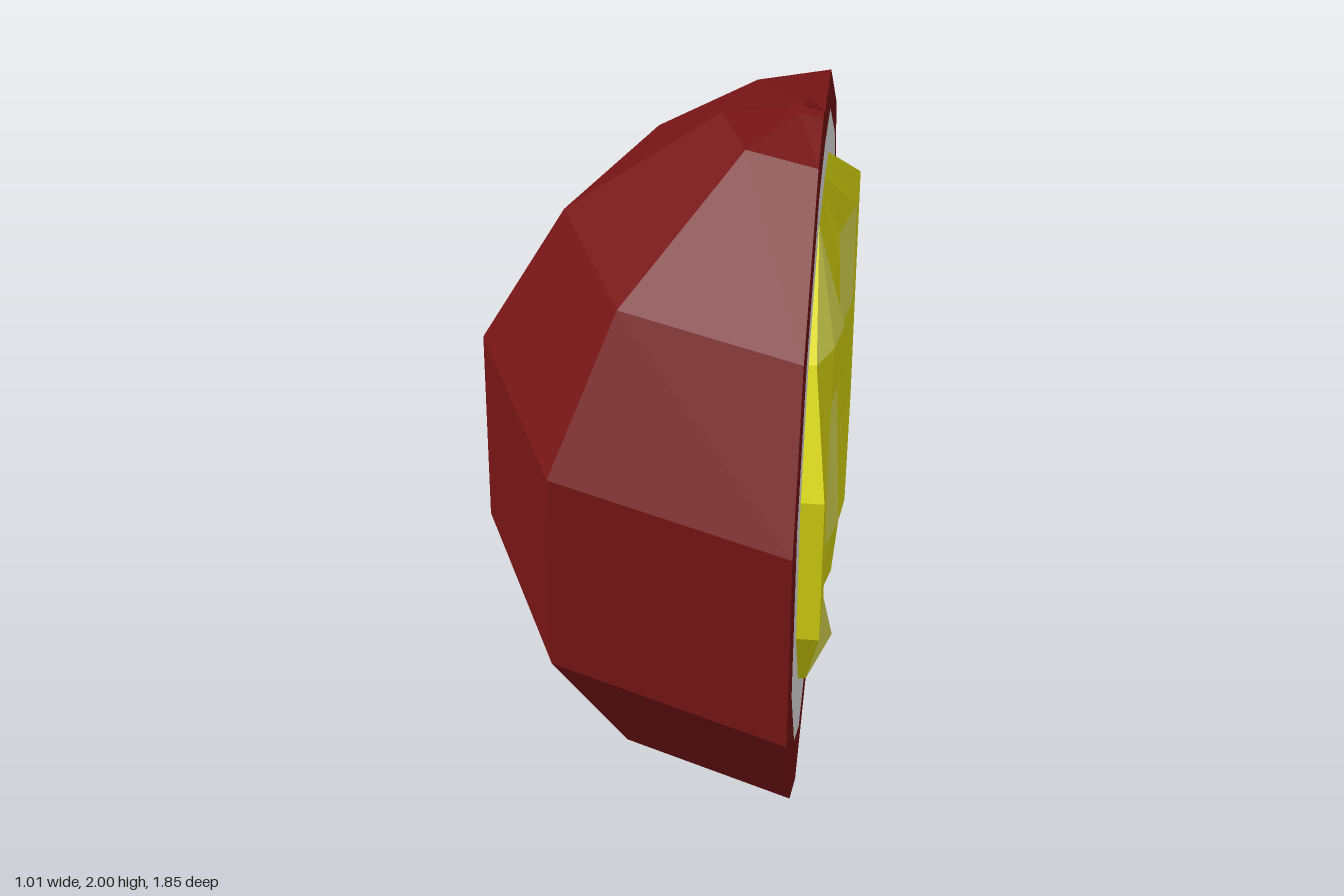
import * as THREE from 'three';

const CUT = 0.42; // x of the flat cut face

const material = (name, color) => {
  const m = new THREE.MeshStandardMaterial({ color });
  m.name = name;
  return m;
};

// Separate the faces so every facet is flat
function faceted(geometry) {
  const g = geometry.index ? geometry.toNonIndexed() : geometry;
  g.computeVertexNormals();
  return g;
}

// Flat shape on the cut, given as [z, y] points, facing +x
function cutShape(points, hole) {
  const toV = (p) => p.map(([z, y]) => new THREE.Vector2(-z, y));
  const shape = new THREE.Shape(toV(points));
  if (hole) shape.holes.push(new THREE.Path(toV(hole)));
  return new THREE.ShapeGeometry(shape).rotateY(Math.PI / 2);
}

export function createModel() {
  const rindRed = material('rind red', 0x761415);
  const pithWhite = material('pith white', 0xffffff);
  const pulpYellow = material('pulp yellow', 0xe2e012);
  const paleYellow = material('pale pulp yellow', 0xf4f25c);

  const group = new THREE.Group();
  group.name = 'halvedFruit';
  const add = (name, geometry, mat, x = 0) => {
    const mesh = new THREE.Mesh(geometry, mat);
    mesh.name = name;
    mesh.position.x = x;
    group.add(mesh);
  };

  // Rind: half of an eight-sided lathe with a small tilted stem scar
  const profile = [
    [0, 0], [0.38, 0], [0.67, 0.185], [0.925, 0.595], [0.925, 1.205],
    [0.69, 1.63], [0.27, 1.947], [0.09, 1.978], [0.06, 1.988], [0, 1.965],
  ];
  const rind = new THREE.LatheGeometry(
    profile.map(([r, y]) => new THREE.Vector2(r, y)), 4, Math.PI, Math.PI);
  const tilt = (z) => (Math.abs(z) < 0.1 ? z * 0.18 : 0);
  const pos = rind.attributes.position;
  for (let i = 0; i < pos.count; i++) {
    if (pos.getY(i) > 1.9) pos.setY(i, pos.getY(i) + tilt(pos.getZ(i)));
  }
  add('rind', faceted(rind), rindRed, CUT);

  // Cut edge of the rind
  const side = (s) => profile.map(([r, y]) => [s * r, y > 1.9 ? y + tilt(s * r) : y]);
  const outline = [...side(1).slice(1), ...side(-1).slice(1, -1).reverse()];
  add('rindCutFace', cutShape(outline), rindRed, CUT);

  // Pith layer on the cut
  const pith = [
    [0.805, 1.205], [0.805, 0.665], [0.585, 0.32], [0.335, 0.16],
    [-0.335, 0.16], [-0.585, 0.32], [-0.805, 0.665], [-0.805, 1.205],
    [-0.6, 1.575], [-0.235, 1.85], [0.02, 1.88], [0.24, 1.85], [0.6, 1.575],
  ];
  add('pith', cutShape(pith), pithWhite, CUT + 0.003);

  // Pulp: rows of facets from top to bottom, as z positions and heights
  const rows = [
    { y: 1.74, z: [0.2, 0.2, 0.2, 0.09, 0.05, -0.02, -0.1, -0.19, -0.19],
      h: [0, 0, 0, 0, 0, 0, 0, 0, 0] },
    { y: 1.51, z: [0.505, 0.42, 0.31, 0.13, 0, -0.15, -0.31, -0.5, -0.505],
      h: [0.02, 0.06, 0.08, 0.03, 0.05, 0.04, 0.08, 0.08, 0] },
    { y: 1.2, z: [0.675, 0.55, 0.35, 0.13, -0.01, -0.14, -0.31, -0.5, -0.675],
      h: [0.06, 0.06, 0.04, 0.06, 0.06, 0.05, 0.08, 0.08, 0] },
    { y: 0.755, z: [0.675, 0.49, 0.36, 0.14, 0, -0.18, -0.35, -0.5, -0.675],
      h: [0.06, 0.06, 0.03, 0.08, 0.08, 0.03, 0.06, 0.08, 0] },
    { y: 0.46, z: [0.485, 0.48, 0.28, 0.12, -0.01, -0.14, -0.27, -0.36, -0.49],
      h: [0, 0.02, 0.08, 0.03, 0.06, 0.02, 0.07, 0.08, 0] },
    { y: 0.325, z: [0.275, 0.27, 0.27, 0.14, 0, -0.14, -0.27, -0.28, -0.28],
      h: [0, 0, 0, 0, 0, 0, 0, 0, 0] },
  ];
  const grid = rows.map(({ y, z, h }, r) => {
    const points = z.map((zi, i) => {
      const crown = r === 0 ? 0.02 * (1 - Math.min(1, Math.abs(zi) / 0.19)) : 0;
      return [h[i] + 0.004, y + crown, zi];
    });
    // skirt columns drop to the cut on both sides
    return [[0, y, z[0]], ...points, [0, y, z[8]]];
  });

  // Pale cells, as row:column
  const pale = new Set(['0:1', '0:2', '1:6', '1:8', '2:3', '3:2', '3:6']);
  const faces = { pulp: [], palePulp: [] };
  for (let r = 0; r < grid.length - 1; r++) {
    for (let c = 0; c < grid[r].length - 1; c++) {
      const [a, b] = [grid[r][c], grid[r + 1][c]];
      const [e, d] = [grid[r][c + 1], grid[r + 1][c + 1]];
      const target = pale.has(`${r}:${c}`) ? faces.palePulp : faces.pulp;
      target.push(...a, ...b, ...d, ...a, ...d, ...e);
    }
  }
  for (const [name, data] of Object.entries(faces)) {
    const g = new THREE.BufferGeometry();
    g.setAttribute('position', new THREE.Float32BufferAttribute(data, 3));
    add(name, faceted(g), name === 'pulp' ? pulpYellow : paleYellow, CUT);
  }
  return group;
}
